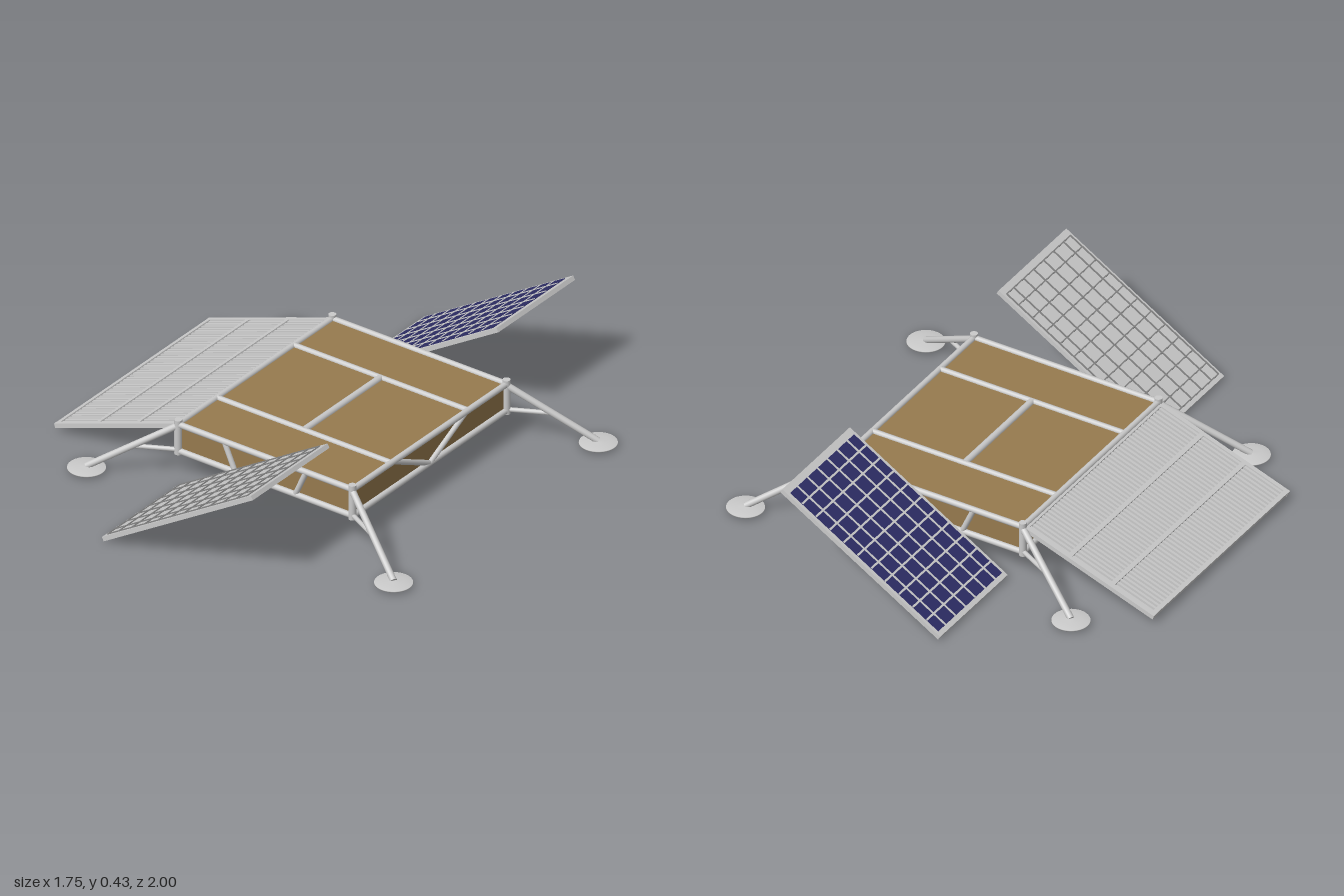
import * as THREE from 'three';

const mat = (name, color) => {
  const m = new THREE.MeshStandardMaterial({ color });
  m.name = name;
  return m;
};

export function createModel() {
  const grey = mat('light grey metal', 0xcacaca);
  const gold = mat('gold foil', 0x967a4e);
  const blue = mat('blue solar cell', 0x2d2d66);
  const seam = mat('dark seam', 0x858585);

  const model = new THREE.Group();
  model.name = 'lander';

  const group = (parent, name, x, y, z) => {
    const g = new THREE.Group();
    g.name = name;
    g.position.set(x, y, z);
    parent.add(g);
    return g;
  };
  const box = (parent, name, material, size, pos) => {
    const m = new THREE.Mesh(new THREE.BoxGeometry(...size), material);
    m.name = name;
    m.position.set(...pos);
    parent.add(m);
    return m;
  };
  // Round bar between two points
  const bar = (parent, name, a, b, r) => {
    const p = new THREE.Vector3(...a), q = new THREE.Vector3(...b);
    const d = q.clone().sub(p);
    const m = new THREE.Mesh(new THREE.CylinderGeometry(r, r, d.length(), 14), grey);
    m.name = name;
    m.position.copy(p).add(q).multiplyScalar(0.5);
    m.quaternion.setFromUnitVectors(new THREE.Vector3(0, 1, 0), d.normalize());
    parent.add(m);
  };

  // Chassis: foil-covered box in a tubular frame
  const HX = 0.4, HZ = 0.478, TOP = 0.23, LOW = 0.118;
  const chassis = group(model, 'chassis', 0.095, 0, -0.015);
  box(chassis, 'foilBody', gold, [HX * 2 - 0.008, TOP - LOW, HZ * 2 - 0.008], [0, (TOP + LOW) / 2, 0]);
  for (const s of [-1, 1]) {
    for (const y of [LOW, TOP]) {
      bar(chassis, 'longRail', [-HX, y, s * HZ], [HX, y, s * HZ], 0.012);
      bar(chassis, 'sideRail', [s * HX, y, -HZ], [s * HX, y, HZ], 0.012);
    }
    bar(chassis, 'deckCrossRail', [-HX, TOP, s * 0.238], [HX, TOP, s * 0.238], 0.012);
    for (const t of [-1, 1]) {
      bar(chassis, 'faceBrace', [t * 0.188, TOP, s * HZ], [t * 0.138, LOW, s * HZ], 0.011);
      bar(chassis, 'sideBrace', [s * HX, TOP, t * 0.225], [s * HX, LOW, 0], 0.011);
    }
  }
  bar(chassis, 'deckCentreRail', [0, TOP, -0.238], [0, TOP, 0.238], 0.014);

  // Corner posts, legs and feet
  const footProfile = [[0, 0.006], [0.045, 0.007], [0.073, 0.012], [0.072, 0.015], [0.04, 0.019], [0, 0.022]]
    .map(([x, y]) => new THREE.Vector2(x, y));
  const footGeometry = new THREE.LatheGeometry(footProfile, 36);
  for (const sx of [-1, 1]) for (const sz of [-1, 1]) {
    const leg = group(chassis, 'leg', 0, 0, 0);
    const x = sx * HX, z = sz * HZ, fx = sx * 0.705, fz = sz * 0.635;
    const at = (t, y) => [x + (fx - x) * t, y, z + (fz - z) * t];
    bar(leg, 'cornerPost', [x, 0.105, z], [x, 0.25, z], 0.015);
    bar(leg, 'mainStrut', at(0, 0.225), at(1, 0.02), 0.013);
    bar(leg, 'lowerStrut', at(0, 0.122), at(0.47, 0.122), 0.009);
    const foot = new THREE.Mesh(footGeometry, grey);
    foot.name = 'footPad';
    foot.position.set(fx, 0, fz);
    leg.add(foot);
  }

  // Slatted ramp
  const ramp = group(model, 'ramp', -0.305, 0.225, -0.015);
  ramp.rotation.z = Math.atan2(0.2, 0.57);
  const L = 0.6, W = 0.96;
  for (const s of [-1, 1]) {
    box(ramp, 'rampSideRail', grey, [L, 0.018, 0.018], [-L / 2, 0, s * (W / 2 - 0.009)]);
  }
  for (const x of [-0.01, -0.205, -0.398, -0.59]) {
    box(ramp, 'rampCrossBar', grey, [0.018, 0.018, W], [x, 0, 0]);
  }
  const SLATS = 44;
  for (let i = 0; i < SLATS; i++) {
    const z = ((i + 0.5) / SLATS - 0.5) * (W - 0.03);
    box(ramp, 'rampSlat', grey, [L - 0.02, 0.01, 0.011], [-L / 2, 0, z]);
  }

  // Tilted solar panels: cells face up on the rear one, plain plate on the front one
  const PL = 0.8, PW = 0.476, T = 0.018;
  for (const s of [-1, 1]) {
    const panel = group(model, s < 0 ? 'rearPanel' : 'frontPanel', 0.088, 0.216, s * 0.762);
    panel.rotation.z = Math.atan2(0.415, 0.685);
    box(panel, 'panelPlate', grey, [PL, T, PW], [0, 0, 0]);
    const line = s < 0 ? grey : seam, w = s < 0 ? 0.008 : 0.005;
    const cx = -0.005, CL = 0.75, CW = 0.448;
    if (s < 0) box(panel, 'cells', blue, [CL, 0.002, CW], [cx, T / 2 + 0.001, 0]);
    const y = T / 2 + 0.002;
    for (let i = 0; i < 10; i++) {
      box(panel, 'columnLine', line, [w, 0.004, CW], [cx + (i - 4.5) * 0.07, y, 0]);
    }
    for (let i = 0; i < 6; i++) {
      box(panel, 'rowLine', line, [CL, 0.004, w], [cx, y, (i - 2.5) * 0.07]);
    }
    // Outline of the cell field on the plain plate
    if (s > 0) for (const t of [-1, 1]) {
      box(panel, 'edgeLine', line, [w, 0.004, CW], [cx + t * CL / 2, y, 0]);
      box(panel, 'edgeLine', line, [CL, 0.004, w], [cx, y, t * CW / 2]);
    }
  }

  return model;
}
